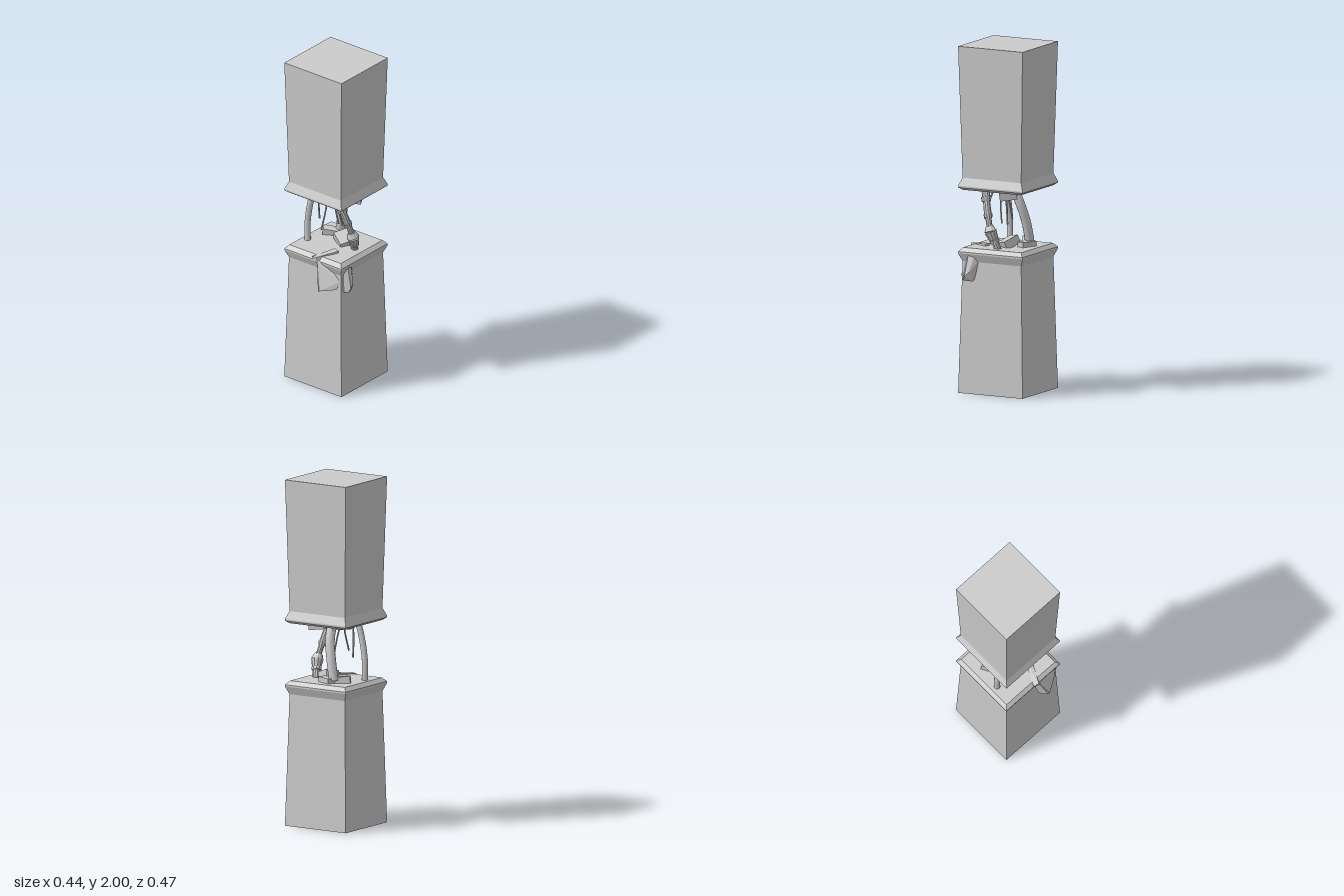
import * as THREE from 'three';
import { ConvexGeometry } from 'three/addons/geometries/ConvexGeometry.js';

const V = (p) => new THREE.Vector3(...p);

export function createModel() {
  const group = new THREE.Group();
  const smooth = new THREE.MeshStandardMaterial({ color: 0xcccccc });
  const flat = new THREE.MeshStandardMaterial({ color: 0xcccccc, flatShading: true });

  const add = (name, geometry, material = flat) => {
    const mesh = new THREE.Mesh(geometry, material);
    mesh.name = name;
    group.add(mesh);
    return mesh;
  };

  // Square column from [half width, height] steps
  const column = (name, steps) => {
    const profile = steps.map(([h, y]) => new THREE.Vector2(h * Math.SQRT2, y));
    const mesh = add(name, new THREE.LatheGeometry(profile, 4, Math.PI / 4));
    mesh.position.set(-0.015, 0, -0.025);
  };

  // Bent pipe through points
  const pipe = (name, points, radius, sides = 10) => {
    const curve = new THREE.CatmullRomCurve3(points.map(V));
    add(name, new THREE.TubeGeometry(curve, 16, radius, sides), smooth);
  };

  // Straight tapered piece between two points
  const link = (name, a, b, r0, r1, sides = 10) => {
    const from = V(a), to = V(b), dir = to.clone().sub(from);
    const mesh = add(name, new THREE.CylinderGeometry(r1, r0, dir.length(), sides));
    mesh.position.copy(from).add(to).multiplyScalar(0.5);
    mesh.quaternion.setFromUnitVectors(new THREE.Vector3(0, 1, 0), dir.normalize());
  };

  // Tilted block
  const block = (name, position, size, rotation) => {
    const mesh = add(name, new THREE.BoxGeometry(...size));
    mesh.position.set(...position);
    mesh.rotation.set(...rotation);
  };

  const hull = (name, points) => add(name, new ConvexGeometry(points.map(V)));

  // The two blocks with flared lips
  column('lowerBlock', [[0, 0], [0.209, 0], [0.19, 0.76], [0.209, 0.805], [0.209, 0.815], [0.188, 0.838], [0, 0.838]]);
  column('upperBlock', [[0, 1.17], [0.188, 1.17], [0.209, 1.185], [0.209, 1.195], [0.19, 1.24], [0.209, 2], [0, 2]]);

  // Pipes bridging the gap
  pipe('thinPipe', [[-0.115, 1.19, 0.04], [-0.14, 1.1, 0.045], [-0.165, 0.96, 0.045], [-0.165, 0.82, 0.045]], 0.018);
  pipe('thickPipe', [[-0.015, 1.19, -0.05], [-0.025, 1.08, -0.1], [-0.05, 0.97, -0.125], [-0.075, 0.85, -0.135]], 0.027);

  // Jointed pipe: [point, radius at start, radius at end] of each piece
  const joints = [
    [[0.075, 1.18, 0.07], 0.024, 0.024],
    [[0.092, 1.125, 0.058], 0.03, 0.027],
    [[0.098, 1.1, 0.052], 0.02, 0.022],
    [[0.115, 1.03, 0.034], 0.026, 0.022],
    [[0.12, 1.01, 0.028], 0.017, 0.017],
    [[0.13, 0.965, 0.015], 0.022, 0.036],
    [[0.134, 0.935, 0.006], 0.036, 0.027],
    [[0.127, 0.89, -0.012], 0.029, 0.029],
    [[0.123, 0.875, -0.018], 0.022, 0.02],
  ];
  joints.forEach(([point, r0, r1], i) => {
    const next = joints[i + 1]?.[0] ?? [0.115, 0.83, -0.035];
    link('jointedPipe' + (i + 1), point, next, r0, r1);
  });

  // Hanging wires
  [
    [[-0.09, 1.18, 0.03], [-0.105, 1.09, 0.02], [-0.115, 0.97, 0.0]],
    [[-0.01, 1.18, 0.05], [0.0, 1.08, 0.09], [-0.005, 0.98, 0.12]],
    [[0.015, 1.18, 0.0], [0.025, 1.07, 0.0], [0.04, 0.97, -0.015]],
    [[-0.03, 1.18, 0.02], [-0.02, 1.1, -0.01], [0.0, 0.96, -0.03]],
  ].forEach((points, i) => pipe('wire' + (i + 1), points, 0.005, 6));

  // Fittings under the upper block
  block('upperFitting1', [0.075, 1.15, -0.075], [0.1, 0.05, 0.1], [0.15, 0.5, -0.15]);
  block('upperFitting2', [-0.1, 1.163, -0.08], [0.11, 0.035, 0.07], [0, 0.3, -0.1]);

  // Broken pieces on the lower block
  block('lowerPiece1', [-0.1, 0.85, -0.1], [0.11, 0.045, 0.05], [0.1, 0.5, -0.15]);
  block('lowerPiece2', [0.02, 0.86, -0.05], [0.1, 0.05, 0.08], [0.2, -0.5, -0.25]);
  block('lowerPiece3', [-0.03, 0.845, -0.14], [0.1, 0.045, 0.05], [0, -0.4, 0]);

  // Piece draped over the front lip
  hull('frontArm', [
    [-0.015, 0.835, 0.19], [0.02, 0.84, 0.195], [-0.01, 0.81, 0.185], [0.03, 0.8, 0.195],
    [0.045, 0.853, 0.06], [0.08, 0.85, 0.07], [0.05, 0.83, 0.06], [0.08, 0.83, 0.07],
  ]);
  hull('frontFlap', [
    [0.0, 0.815, 0.165], [0.025, 0.815, 0.195], [0.07, 0.815, 0.16], [0.05, 0.8, 0.13],
    [0.025, 0.66, 0.185], [0.035, 0.645, 0.2], [0.06, 0.65, 0.23], [0.07, 0.655, 0.232],
    [0.155, 0.67, 0.18], [0.17, 0.72, 0.165], [0.14, 0.68, 0.14],
  ]);

  // Piece hanging on the side
  hull('sideFlap', [
    [0.18, 0.81, 0.08], [0.19, 0.8, 0.12], [0.17, 0.78, 0.14], [0.17, 0.77, 0.06],
    [0.215, 0.7, 0.105], [0.22, 0.68, 0.13], [0.21, 0.655, 0.14], [0.19, 0.655, 0.155],
    [0.18, 0.66, 0.15], [0.195, 0.65, 0.09], [0.18, 0.66, 0.085],
  ]);

  return group;
}
